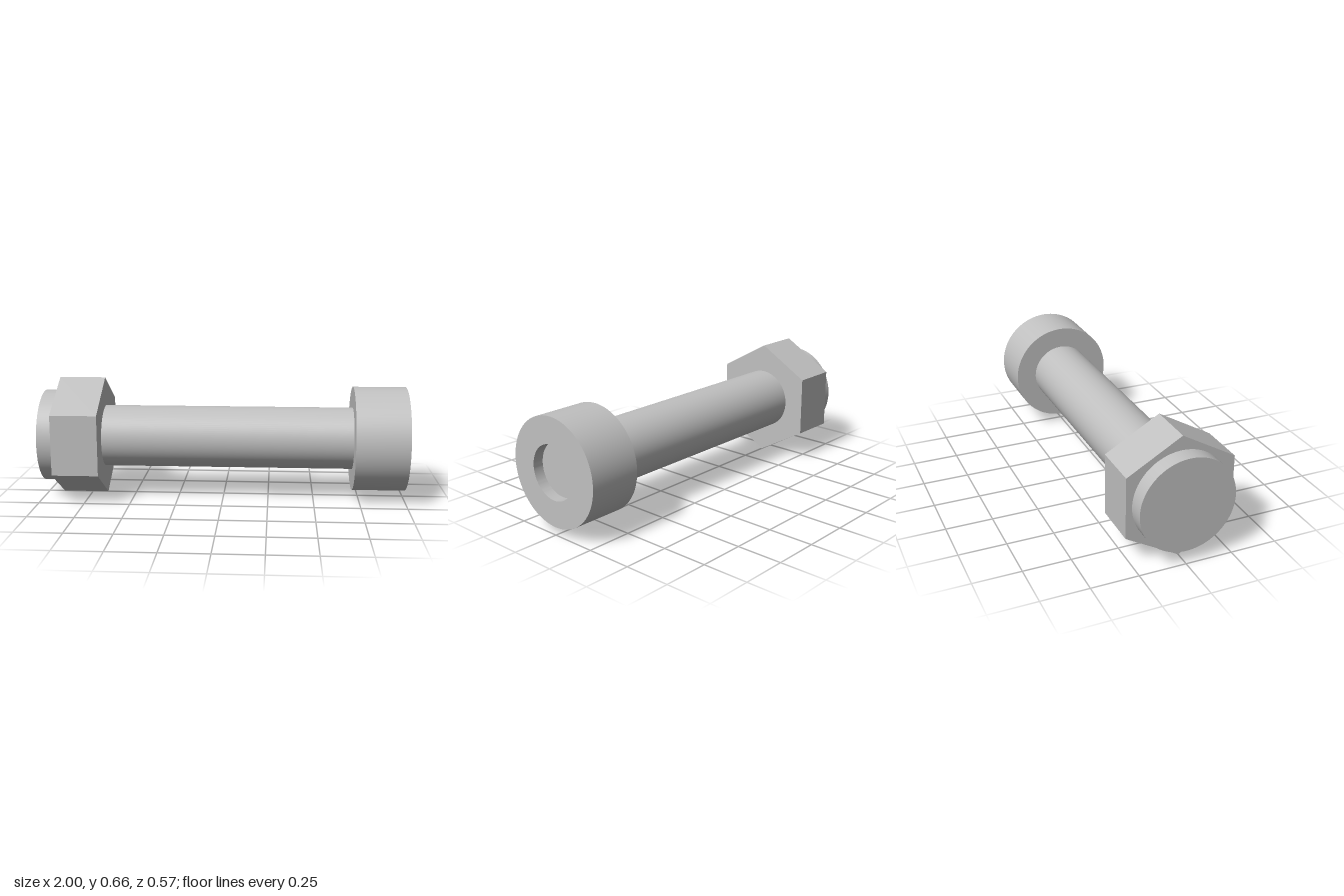
import * as THREE from 'three';
import { toCreasedNormals } from 'three/addons/utils/BufferGeometryUtils.js';

export function createModel() {
  const steel = new THREE.MeshStandardMaterial({ color: 0xc0c0c0 });
  steel.name = 'steel';

  const model = new THREE.Group();
  model.name = 'boltWithNut';

  // Everything is turned about one axis lying along x
  const axisY = 0.329;
  function addPart(name, geometry, x = 0) {
    geometry.rotateZ(-Math.PI / 2);
    const mesh = new THREE.Mesh(geometry, steel);
    mesh.name = name;
    mesh.position.set(x, axisY, 0);
    model.add(mesh);
    return mesh;
  }
  const rod = (radius, x0, x1, sides = 96, start = 0) =>
    new THREE.CylinderGeometry(radius, radius, x1 - x0, sides, 1, false, start)
      .translate(0, (x0 + x1) / 2, 0);

  // Round end collar beyond the nut
  addPart('endCollar', rod(0.253, -1, -0.914));

  // Hexagonal nut, corners pointing up and down
  const nut = rod(0.329, -0.914, -0.662, 6, Math.PI / 6);
  addPart('hexNut', toCreasedNormals(nut, 0.3));

  // Smooth shank
  addPart('shank', rod(0.17, -0.662, 0.712));

  // Cylindrical head with a shallow round recess in its end
  const profile = [
    [0, 0.712], [0.286, 0.712], [0.286, 1], [0.144, 1], [0.144, 0.943], [0, 0.943],
  ].map(([r, x]) => new THREE.Vector2(r, x));
  addPart('socketHead', toCreasedNormals(new THREE.LatheGeometry(profile, 96), 0.5));

  return model;
}
